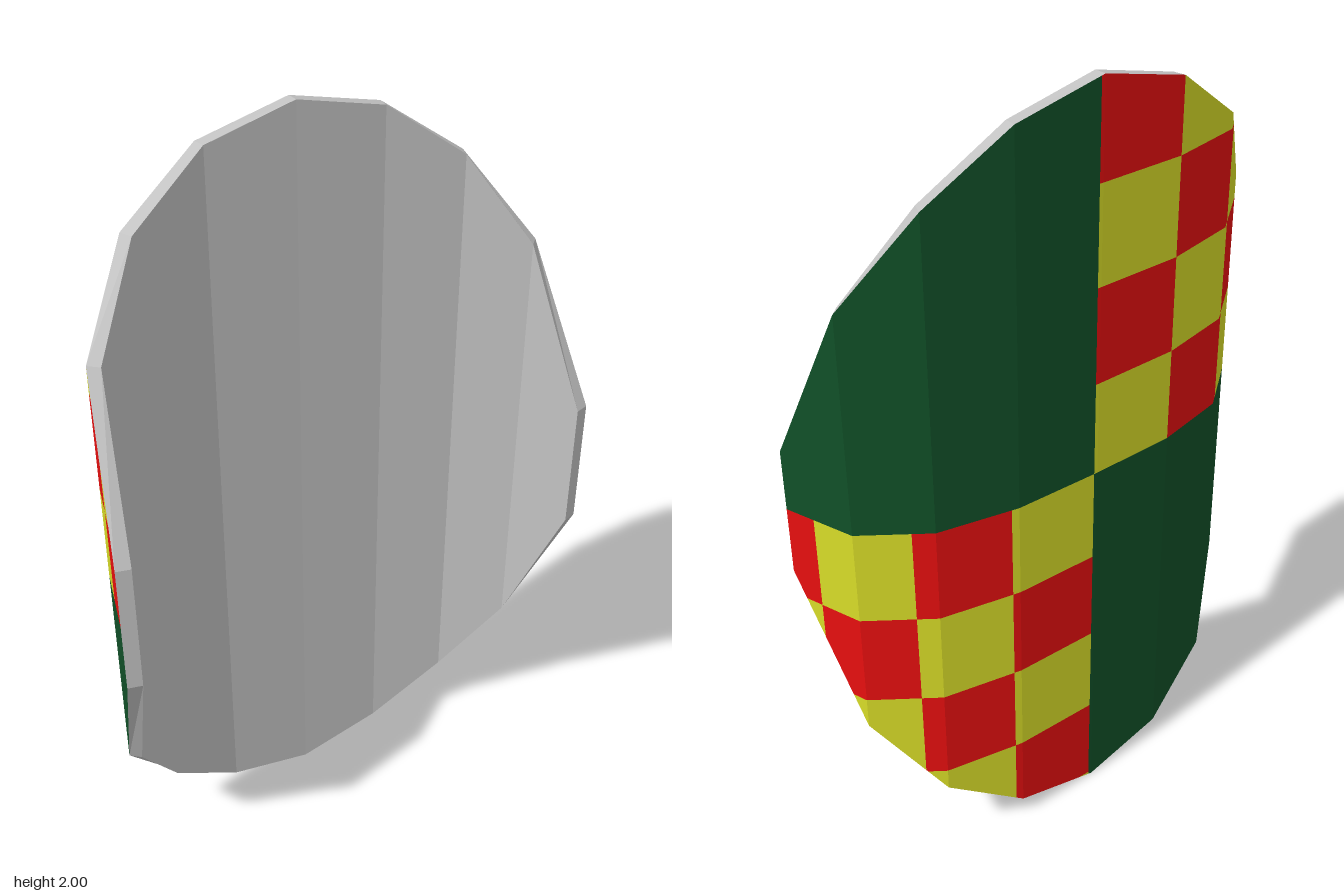
import * as THREE from 'three';

// Half profile from the centre line to the side edge:
// outer x, outer z, inner x, inner z, half height
const HALF = [
  [0, -0.18, 0, -0.147, 1],
  [0.24, -0.175, 0.235, -0.142, 0.945],
  [0.45, -0.13, 0.437, -0.097, 0.8],
  [0.602, -0.015, 0.577, 0.008, 0.575],
  [0.66, 0.173, 0.624, 0.183, 0.17],
];
const PITCH = 0.25; // checker size
const MID_S = 0.01, MID_Y = 1.01; // where the four quarters meet

// Full profile with arc length s measured along the outer curve
function makeProfile() {
  let s = 0;
  const right = HALF.map(([ox, oz, ix, iz, h], i) => {
    if (i) s += Math.hypot(ox - HALF[i - 1][0], oz - HALF[i - 1][1]);
    return { s, ox, oz, ix, iz, h };
  });
  const left = right.slice(1).reverse()
    .map((p) => ({ ...p, s: -p.s, ox: -p.ox, ix: -p.ix }));
  return [...left, ...right];
}

// Profile values at any arc length
function sample(profile, s) {
  let i = 0;
  while (i < profile.length - 2 && s > profile[i + 1].s) i++;
  const a = profile[i], b = profile[i + 1];
  const t = (s - a.s) / (b.s - a.s);
  return { x: a.ox + (b.ox - a.ox) * t, z: a.oz + (b.oz - a.oz) * t, h: a.h + (b.h - a.h) * t };
}

// Keep the part of a convex [s, y] polygon where sign * (y - limit) >= 0
function clip(poly, limit, sign) {
  const out = [];
  poly.forEach((p, i) => {
    const q = poly[(i + 1) % poly.length];
    const dp = sign * (p[1] - limit), dq = sign * (q[1] - limit);
    if (dp >= 0) out.push(p);
    if (dp * dq < 0) {
      const t = dp / (dp - dq);
      out.push([p[0] + (q[0] - p[0]) * t, limit]);
    }
  });
  return out;
}

function addFan(target, points) {
  for (let i = 1; i < points.length - 1; i++) {
    target.push(...points[0], ...points[i], ...points[i + 1]);
  }
}

function makeMesh(name, positions, material) {
  const geometry = new THREE.BufferGeometry();
  geometry.setAttribute('position', new THREE.Float32BufferAttribute(positions, 3));
  geometry.computeVertexNormals();
  const mesh = new THREE.Mesh(geometry, material);
  mesh.name = name;
  return mesh;
}

function makeMaterial(name, color) {
  const material = new THREE.MeshStandardMaterial({ color });
  material.name = name;
  return material;
}

export function createModel() {
  const group = new THREE.Group();
  group.name = 'shield';
  const profile = makeProfile();
  const steel = makeMaterial('steel grey', 0xc2c2c2);
  const green = [], red = [], yellow = [], inner = [], rim = [];

  // Painted back: strips between folds and checker lines, cut into rows
  const end = profile[profile.length - 1].s;
  const cuts = profile.map((p) => p.s);
  for (let k = -3; k <= 3; k++) cuts.push(MID_S + k * PITCH);
  cuts.sort((a, b) => a - b);
  for (let i = 0; i < cuts.length - 1; i++) {
    const a = cuts[i], b = cuts[i + 1];
    if (b - a < 1e-5 || b > end + 1e-5) continue;
    const ha = sample(profile, a).h, hb = sample(profile, b).h;
    const strip = [[a, 1 - ha], [a, 1 + ha], [b, 1 + hb], [b, 1 - hb]];
    const place = (poly) => poly.map(([s, y]) => {
      const p = sample(profile, s);
      return [p.x, y, p.z];
    });
    const offset = (a + b) / 2 - MID_S;
    const side = offset > 0 ? -1 : 1; // checkers lie below on +x, above on -x
    const column = Math.floor(Math.abs(offset) / PITCH);
    addFan(green, place(clip(strip, MID_Y, -side)));
    for (let row = 0; row < 5; row++) {
      const from = MID_Y + side * row * PITCH;
      const cell = clip(clip(strip, from, side), from + side * PITCH, -side);
      if (cell.length > 2) addFan((row + column) % 2 ? red : yellow, place(cell));
    }
  }

  // Bare inner face
  for (let i = 0; i < profile.length - 1; i++) {
    const a = profile[i], b = profile[i + 1];
    addFan(inner, [
      [a.ix, 1 - a.h, a.iz], [b.ix, 1 - b.h, b.iz],
      [b.ix, 1 + b.h, b.iz], [a.ix, 1 + a.h, a.iz],
    ]);
  }

  // Rim joining both faces around the oval outline
  const corner = (p, sign) => {
    const y = 1 + sign * p.h;
    return { outer: [p.ox, y, p.oz], inner: [p.ix, y, p.iz] };
  };
  const outline = [
    ...profile.map((p) => corner(p, 1)),
    ...[...profile].reverse().map((p) => corner(p, -1)),
  ];
  outline.forEach((p, i) => {
    const q = outline[(i + 1) % outline.length];
    addFan(rim, [p.outer, p.inner, q.inner, q.outer]);
  });

  group.add(
    makeMesh('greenQuarters', green, makeMaterial('dark green', 0x115028)),
    makeMesh('redCheckers', red, makeMaterial('red', 0xec1010)),
    makeMesh('yellowCheckers', yellow, makeMaterial('yellow', 0xd8dc28)),
    makeMesh('innerFace', inner, steel),
    makeMesh('rim', rim, steel),
  );
  return group;
}
